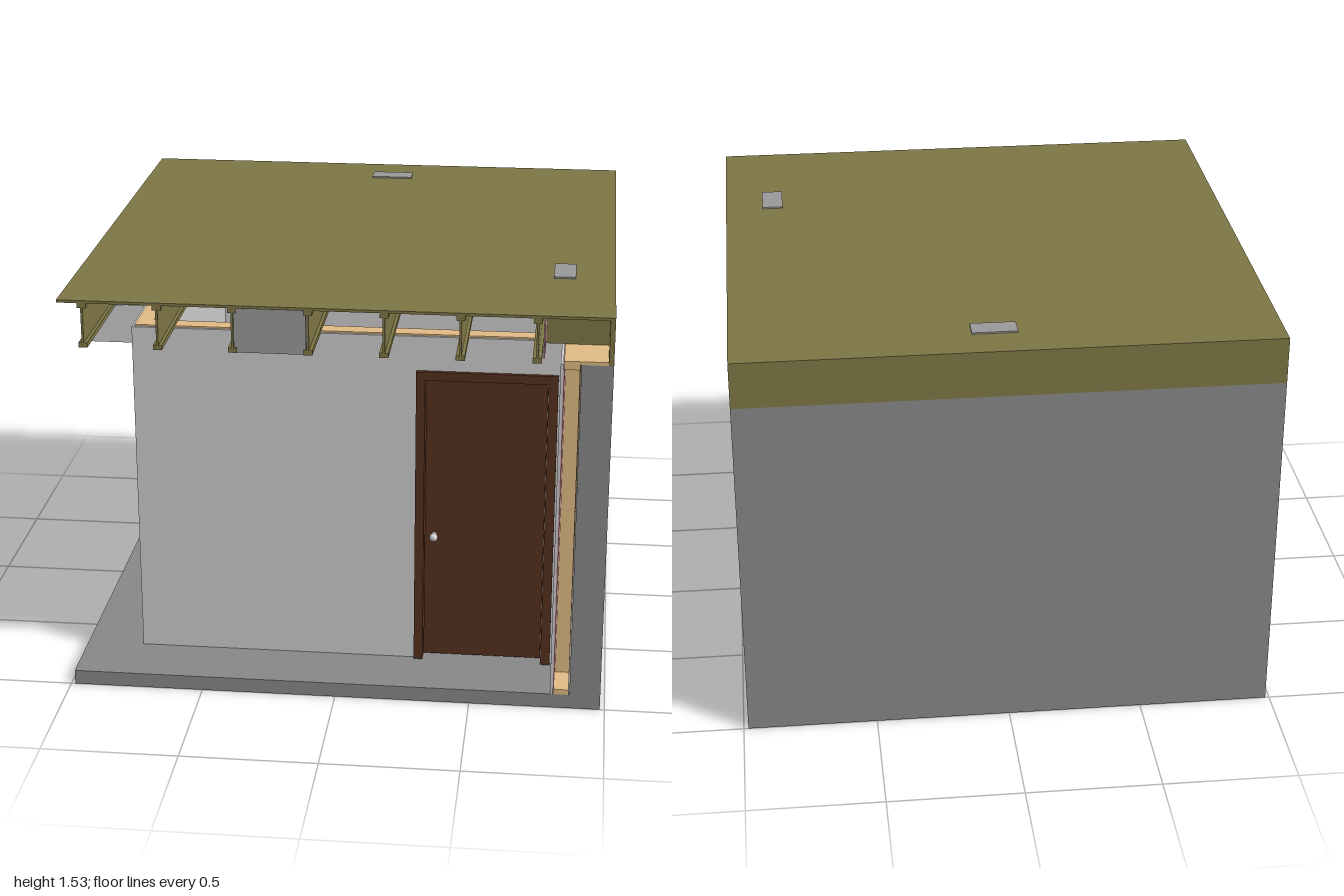
import * as THREE from 'three';

const mat = (color) => new THREE.MeshStandardMaterial({ color, side: THREE.DoubleSide });

export function createModel() {
  const model = new THREE.Group();
  const concrete = mat(0x888888), olive = mat(0x7d7545), drywall = mat(0xcccccc), wood = mat(0xe0bb85);
  const pink = mat(0xb87d8c), brown = mat(0x55301f), metal = mat(0x999999), copper = mat(0xc8843c);
  const black = mat(0x1a1a1a), chrome = mat(0xcccccc);

  const add = (name, geo, m, parent = model) => {
    const mesh = new THREE.Mesh(geo, m);
    mesh.name = name;
    parent.add(mesh);
    return mesh;
  };
  // Box given by its limits on each axis
  const box = (name, m, x0, x1, y0, y1, z0, z1, parent = model) => {
    const mesh = add(name, new THREE.BoxGeometry(x1 - x0, y1 - y0, z1 - z0), m, parent);
    mesh.position.set((x0 + x1) / 2, (y0 + y1) / 2, (z0 + z1) / 2);
    return mesh;
  };
  const group = (name) => {
    const g = new THREE.Group();
    g.name = name;
    model.add(g);
    return g;
  };
  // Round pipe through points, with rounded elbows
  const pipe = (name, m, r, pts, parent = model) => {
    const v = pts.map((p) => new THREE.Vector3(...p));
    const path = new THREE.CurvePath();
    let from = v[0];
    for (let i = 1; i < v.length - 1; i++) {
      const a = v[i].clone().add(v[i - 1].clone().sub(v[i]).setLength(r * 1.3));
      const b = v[i].clone().add(v[i + 1].clone().sub(v[i]).setLength(r * 1.3));
      path.add(new THREE.LineCurve3(from, a));
      path.add(new THREE.QuadraticBezierCurve3(a, v[i], b));
      from = b;
    }
    path.add(new THREE.LineCurve3(from, v[v.length - 1]));
    return add(name, new THREE.TubeGeometry(path, v.length > 2 ? 64 : 1, r, 20), m, parent);
  };

  const L = -0.985, R = 0.983, F = 1, B = -1;
  const SLAB = 0.055, WALL = 1.345, DECK = 1.51;

  // Concrete foundation
  box('floorSlab', concrete, L, R, 0, SLAB, B, F);
  box('rightFoundationWall', concrete, 0.87, R, SLAB, WALL, B, F);
  box('backFoundationWall', concrete, L, 0.87, SLAB, WALL, B, -0.885);

  // Framed and insulated right wall
  const right = group('rightStudWall');
  box('bottomPlate', wood, 0.81, 0.866, SLAB, 0.075, -0.82, F, right);
  box('topPlate', wood, 0.81, 0.866, 1.325, WALL, -0.82, F, right);
  for (let z = 0.86; z > -0.8; z -= 0.27) box('stud', wood, 0.813, 0.866, 0.075, 1.325, z - 0.02, z, right);
  box('insulation', pink, 0.808, 0.812, 0.075, 1.325, -0.82, F, right);
  box('drywall', drywall, 0.798, 0.808, SLAB, WALL, -0.82, F, right);

  // Framed and insulated back wall
  const back = group('backStudWall');
  box('bottomPlate', wood, L, 0.866, SLAB, 0.075, -0.88, -0.825, back);
  box('topPlate', wood, L, 0.866, 1.325, WALL, -0.88, -0.825, back);
  for (let x = -0.86; x < 0.8; x += 0.27) box('stud', wood, x, x + 0.02, 0.075, 1.325, -0.88, -0.828, back);
  box('insulation', pink, L, 0.81, 0.075, 1.325, -0.828, -0.822, back);
  box('drywall', drywall, L, 0.808, SLAB, WALL, -0.822, -0.812, back);

  // Enclosed room, with an opening for the door
  const room = group('room');
  const face = new THREE.Shape([[-0.77, SLAB], [0.29, SLAB], [0.29, 1.2], [0.77, 1.2], [0.77, SLAB],
    [0.798, SLAB], [0.798, WALL], [-0.77, WALL]].map((p) => new THREE.Vector2(...p)));
  add('frontWall', new THREE.ExtrudeGeometry(face, { depth: 0.08, bevelEnabled: false }), drywall, room).position.z = 0.675;
  box('sideWall', drywall, -0.77, -0.69, SLAB, WALL, -0.812, 0.675, room);
  box('frontTopPlate', wood, -0.76, 0.79, WALL, WALL + 0.006, 0.685, 0.745, room);
  box('sideTopPlate', wood, -0.76, -0.7, WALL, WALL + 0.006, -0.81, 0.685, room);

  // Door with its casing and knobs
  const door = group('door');
  box('leftJamb', brown, 0.755, 0.79, SLAB, 1.215, 0.66, 0.77, door);
  box('rightJamb', brown, 0.275, 0.308, SLAB, 1.215, 0.66, 0.77, door);
  box('doorHead', brown, 0.308, 0.755, 1.182, 1.215, 0.66, 0.77, door);
  box('doorLeaf', brown, 0.31, 0.753, 0.065, 1.18, 0.7, 0.735, door);
  for (const s of [1, -1]) {
    const z = s > 0 ? 0.735 : 0.7;
    const stem = add('knobStem', new THREE.CylinderGeometry(0.006, 0.01, 0.025, 16), chrome, door);
    stem.rotation.x = s * Math.PI / 2;
    stem.position.set(0.345, 0.56, z + s * 0.012);
    add('knob', new THREE.SphereGeometry(0.016, 20, 12), chrome, door).position.set(0.345, 0.56, z + s * 0.03);
  }

  // Floor deck, rim boards and sill
  box('floorDeck', olive, L, R, DECK, 1.52, B, F);
  box('rightRimBoard', olive, 0.965, R, WALL, DECK, B, F);
  box('backRimBoard', olive, L, 0.965, WALL, DECK, B, -0.985);
  box('rimInsulation', pink, 0.737, 0.742, WALL + 0.02, DECK - 0.02, -0.98, F);
  box('sillPlate', wood, 0.81, 0.965, WALL, WALL + 0.012, -0.98, F);
  box('rimBayBlocking', olive, 0.742, 0.965, WALL + 0.012, DECK, 0.80, 0.815);
  box('backBayPanel', drywall, L, 0.71, WALL, DECK, -0.984, -0.975);

  // I-shaped floor joists
  const joists = group('floorJoists');
  for (let i = 0; i < 7; i++) {
    const x = -0.895 + i * 0.2685;
    box('joistWeb', olive, x - 0.004, x + 0.004, WALL + 0.018, DECK - 0.018, -0.975, F, joists);
    box('lowerFlange', olive, x - 0.016, x + 0.016, WALL, WALL + 0.018, -0.975, F, joists);
    box('upperFlange', olive, x - 0.016, x + 0.016, DECK - 0.018, DECK, -0.975, F, joists);
  }

  // Dropped soffit with two ducts, open at the side
  const soffit = group('ductSoffit');
  box('soffitBottom', drywall, L, -0.77, 1.197, 1.21, -0.12, 0.51, soffit);
  for (const z of [-0.12, 0.497]) box('soffitSide', drywall, L, -0.77, 1.21, WALL, z, z + 0.013, soffit);
  const ductOutline = (w, h, t) => {
    const s = new THREE.Shape([[0, 0], [w, 0], [w, h], [0, h]].map((p) => new THREE.Vector2(...p)));
    s.holes.push(new THREE.Path([[t, t], [t, h - t], [w - t, h - t], [w - t, t]].map((p) => new THREE.Vector2(...p))));
    return s;
  };
  for (const z of [0.2, 0.48]) {
    const duct = add('trunkDuct', new THREE.ExtrudeGeometry(ductOutline(0.25, 0.105, 0.005), { depth: 0.28, bevelEnabled: false }), metal, soffit);
    duct.rotation.y = Math.PI / 2;
    duct.position.set(L, 1.225, z);
  }

  // Sheet-metal return closing one joist bay
  box('joistBayReturn', metal, -0.353, -0.097, WALL, DECK - 0.002, -0.4, 0.995);

  // Floor vents with tapered boots and a branch pipe
  const vents = group('floorVents');
  for (const [x, z, w, d] of [[0.042, -0.812, 0.165, 0.08], [0.798, 0.48, 0.08, 0.165]]) {
    box('ventGrille', metal, x - w / 2, x + w / 2, 1.52, 1.526, z - d / 2, z + d / 2, vents);
    const boot = new THREE.CylinderGeometry(Math.SQRT1_2, 0.25, 0.065, 4, 1, true);
    boot.rotateY(Math.PI / 4);
    boot.scale(w, 1, d);
    add('ventBoot', boot, metal, vents).position.set(x, 1.483, z);
  }
  pipe('branchPipe', metal, 0.025, [[0.042, 1.46, -0.812], [0.042, 1.42, -0.812], [0.73, 1.42, -0.812]], vents);
  box('bootSupport', wood, -0.075, 0.16, WALL, 1.365, -0.87, -0.82, vents);

  // Plumbing
  const plumbing = group('plumbing');
  for (const z of [-0.64, -0.3]) pipe('waterPipe', copper, 0.008, [[L, 1.375, z], [-0.47, 1.375, z], [-0.47, 1.2, z]], plumbing);
  pipe('drainPipe', black, 0.043, [[-0.55, 1.398, -0.8], [-0.55, 1.398, 0.4]], plumbing);
  pipe('flueElbow', metal, 0.04, [[-0.423, 1.1, 0.1], [-0.423, 1.425, 0.1], [-0.423, 1.425, -0.8]], plumbing);

  return model;
}
